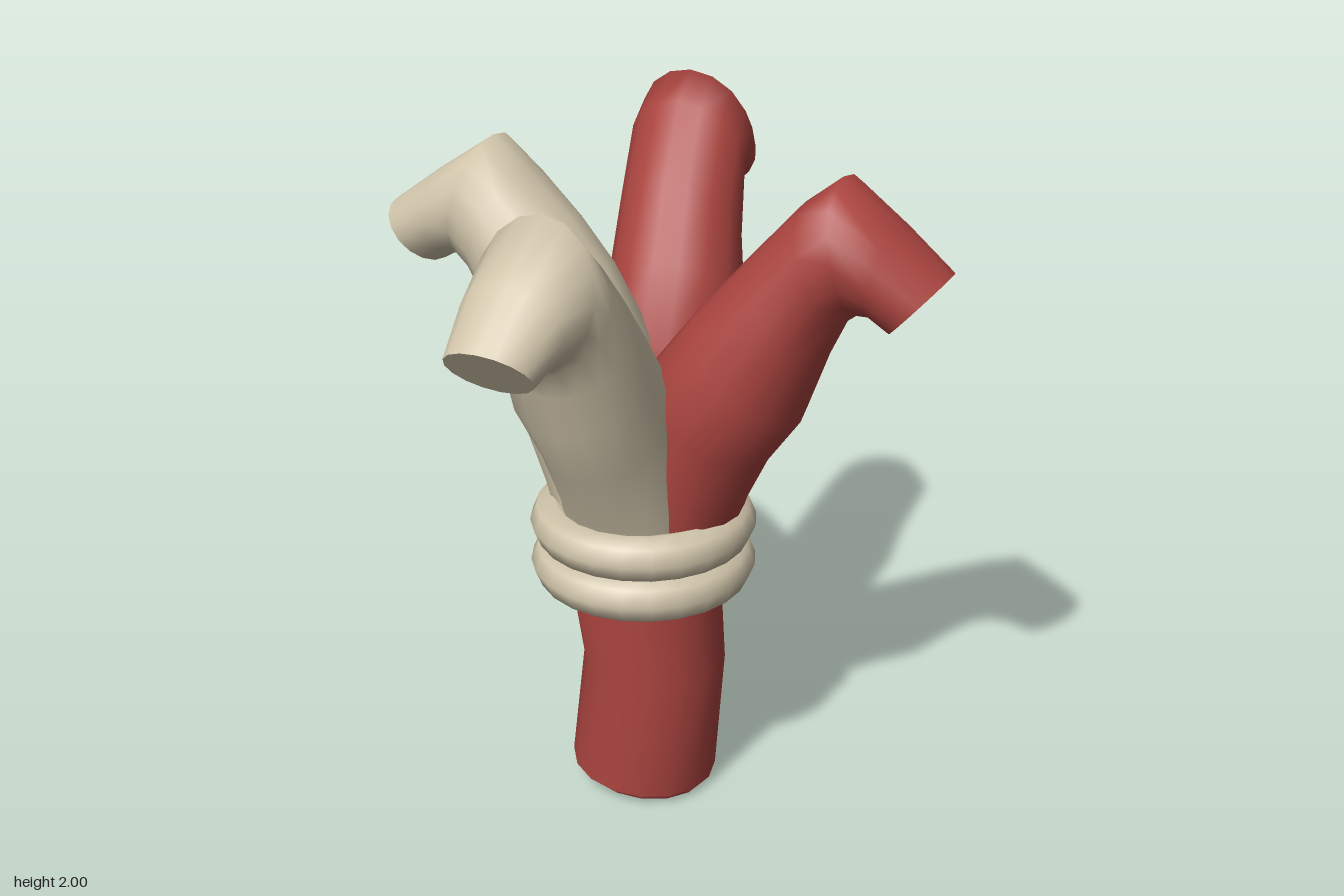
import * as THREE from 'three';

const SIDES = 16;

// Skin of elliptical sections. Each section is [innerR, innerY, outerR, outerY, sideCentre, sideHalf],
// with R measured along the horizontal direction dir and the side offset in world coordinates.
function loft(dir, sections) {
  const up = new THREE.Vector3(0, 1, 0);
  const side = new THREE.Vector3().crossVectors(dir, up);
  const sign = Math.sign(side.x + side.z);
  const pos = [];
  const idx = [];
  const at = (r, y, s) => new THREE.Vector3().addScaledVector(dir, r).addScaledVector(up, y).addScaledVector(side, s);
  const rings = sections.map(([ri, yi, ro, yo, c, h]) => {
    const ring = [];
    for (let j = 0; j < SIDES; j++) {
      const a = (j / SIDES) * Math.PI * 2;
      const k = Math.cos(a) / 2;
      ring.push(at((ri + ro) / 2 + k * (ro - ri), (yi + yo) / 2 + k * (yo - yi), c * sign + Math.sin(a) * h));
    }
    return ring;
  });
  rings.forEach((ring) => ring.forEach((p) => pos.push(p.x, p.y, p.z)));
  for (let i = 0; i < rings.length - 1; i++) {
    for (let j = 0; j < SIDES; j++) {
      const n = (j + 1) % SIDES;
      const a = i * SIDES + j, b = i * SIDES + n;
      idx.push(a, a + SIDES, b, b, a + SIDES, b + SIDES);
    }
  }
  // Flat end caps with their own vertices, so the rims stay crisp
  [rings[0], rings[rings.length - 1]].forEach((ring, end) => {
    const start = pos.length / 3;
    ring.forEach((p) => pos.push(p.x, p.y, p.z));
    for (let j = 1; j < SIDES - 1; j++) {
      if (end) idx.push(start, start + j + 1, start + j);
      else idx.push(start, start + j, start + j + 1);
    }
  });
  const g = new THREE.BufferGeometry();
  g.setAttribute('position', new THREE.Float32BufferAttribute(pos, 3));
  g.setIndex(idx);
  g.computeVertexNormals();
  return g;
}

export function createModel() {
  const group = new THREE.Group();
  const red = new THREE.MeshStandardMaterial({ name: 'brick red', color: 0xaa443f });
  const beige = new THREE.MeshStandardMaterial({ name: 'warm beige', color: 0xd0c4aa });

  const add = (name, geometry, material) => {
    const mesh = new THREE.Mesh(geometry, material);
    mesh.name = name;
    group.add(mesh);
    return mesh;
  };

  const X = new THREE.Vector3(1, 0, 0);
  const Z = new THREE.Vector3(0, 0, 1);

  // Single stem below the binding
  add('stem', loft(X, [
    [-0.19, 0.04, 0.2, 0.0, 0.075, 0.19],
    [-0.21, 0.06, 0.22, 0.025, 0.078, 0.21],
    [-0.18, 0.4, 0.24, 0.4, 0.06, 0.2],
    [-0.215, 0.67, 0.225, 0.67, 0.07, 0.22],
    [-0.2, 0.88, 0.2, 0.88, 0.06, 0.2],
  ]), red);

  // Four bent arms spreading from the binding, each ending in a stub that points out and down
  add('leftArm', loft(X, [
    [-0.03, 0.8, 0.25, 0.8, 0.05, 0.18],
    [-0.03, 1.03, 0.3, 0.95, 0.05, 0.19],
    [0.0, 1.3, 0.37, 1.1, 0.05, 0.2],
    [0.15, 1.5, 0.46, 1.23, 0.045, 0.2],
    [0.3, 1.68, 0.51, 1.4, 0.01, 0.185],
    [0.43, 1.83, 0.56, 1.52, -0.01, 0.18],
    [0.53, 1.91, 0.6, 1.55, -0.02, 0.18],
    [0.68, 1.8, 0.635, 1.55, -0.025, 0.16],
    [0.83, 1.68, 0.68, 1.51, -0.03, 0.13],
  ]), red);

  add('rightArm', loft(X.clone().negate(), [
    [-0.03, 0.8, 0.25, 0.8, 0.05, 0.18],
    [-0.03, 1.03, 0.3, 0.95, 0.05, 0.19],
    [0.0, 1.38, 0.37, 1.1, 0.05, 0.2],
    [0.13, 1.58, 0.42, 1.27, 0.04, 0.2],
    [0.25, 1.7, 0.47, 1.4, 0.02, 0.19],
    [0.4, 1.81, 0.54, 1.5, -0.01, 0.185],
    [0.5, 1.89, 0.59, 1.54, -0.015, 0.18],
    [0.68, 1.77, 0.63, 1.53, -0.025, 0.155],
    [0.83, 1.66, 0.68, 1.5, -0.02, 0.125],
  ]), beige);

  add('frontArm', loft(Z, [
    [0.03, 0.8, 0.29, 0.8, -0.01, 0.18],
    [0.03, 1.03, 0.33, 0.93, -0.01, 0.18],
    [0.05, 1.32, 0.44, 1.12, -0.025, 0.18],
    [0.18, 1.5, 0.5, 1.27, -0.05, 0.2],
    [0.3, 1.65, 0.54, 1.4, -0.055, 0.19],
    [0.42, 1.79, 0.575, 1.48, -0.06, 0.18],
    [0.5, 1.88, 0.61, 1.49, -0.065, 0.17],
    [0.67, 1.75, 0.65, 1.5, -0.075, 0.15],
    [0.82, 1.62, 0.71, 1.48, -0.08, 0.125],
  ]), beige);

  add('backArm', loft(Z.clone().negate(), [
    [-0.07, 0.8, 0.21, 0.8, -0.01, 0.18],
    [-0.07, 1.03, 0.26, 0.95, -0.01, 0.18],
    [-0.03, 1.35, 0.36, 1.15, -0.03, 0.19],
    [0.12, 1.56, 0.44, 1.32, -0.06, 0.2],
    [0.26, 1.74, 0.5, 1.47, -0.095, 0.185],
    [0.41, 1.93, 0.55, 1.6, -0.12, 0.18],
    [0.5, 2.0, 0.6, 1.64, -0.125, 0.175],
    [0.67, 1.88, 0.64, 1.63, -0.14, 0.155],
    [0.82, 1.76, 0.69, 1.59, -0.15, 0.125],
  ]), red);

  // Two stacked binding rings
  [0.855, 0.728].forEach((y, i) => {
    const ring = add(i ? 'lowerBindingRing' : 'upperBindingRing', new THREE.TorusGeometry(0.257, 0.067, 8, 24), beige);
    ring.rotation.x = Math.PI / 2;
    ring.position.set(0, y, 0.07);
  });

  return group;
}
